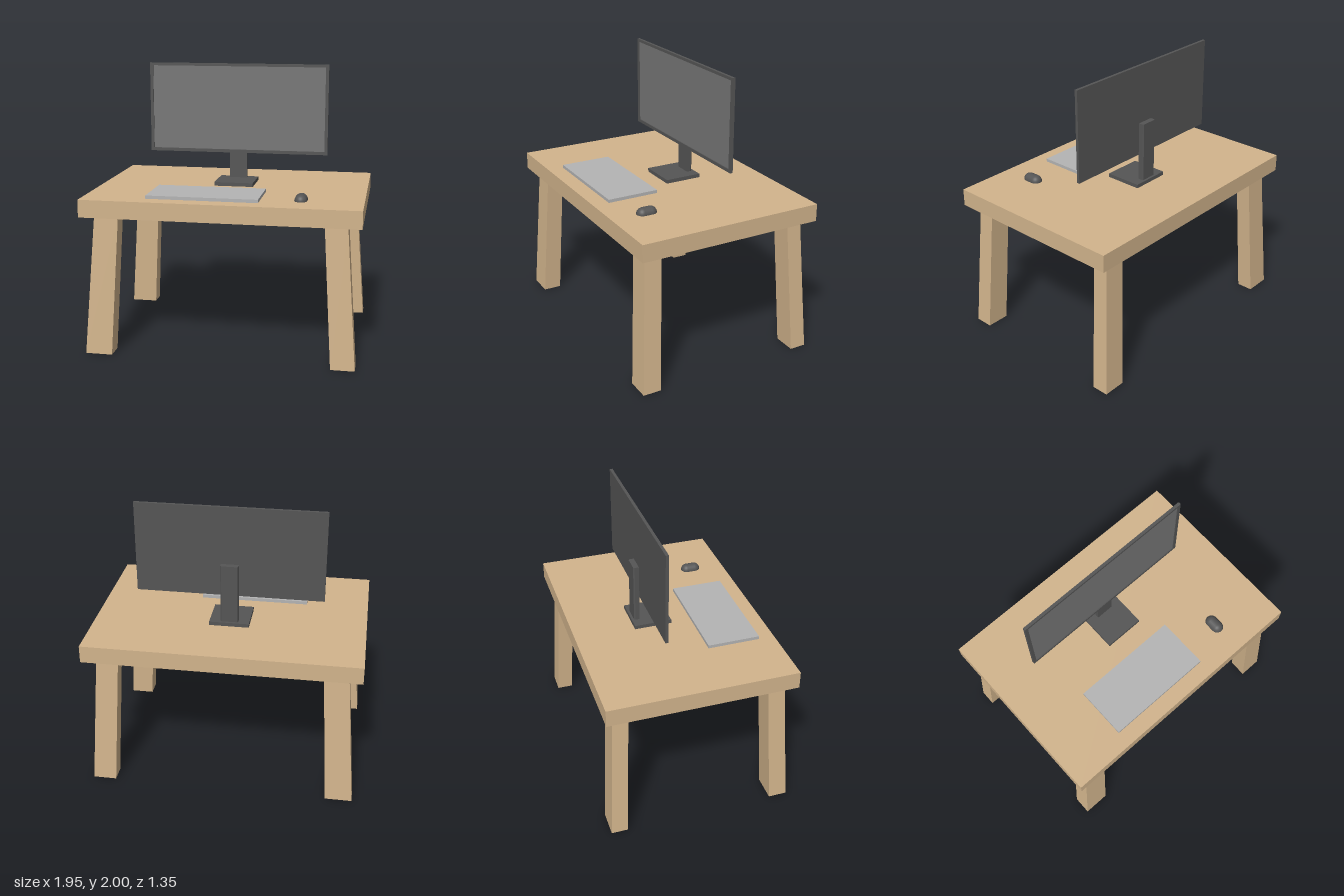
import * as THREE from 'three';

const paint = (color) => new THREE.MeshStandardMaterial({ color });

export function createModel() {
  const model = new THREE.Group();
  model.name = 'computerDesk';
  const wood = paint(0xd2b48c), dark = paint(0x555555);
  const screenGrey = paint(0x777777), lightGrey = paint(0xb4b4b4);

  const add = (parent, name, geometry, material) => {
    const mesh = new THREE.Mesh(geometry, material);
    mesh.name = name;
    parent.add(mesh);
    return mesh;
  };
  // Box given by its limits on each axis
  const block = (parent, name, [x0, x1], [y0, y1], [z0, z1], material) => {
    const mesh = add(parent, name, new THREE.BoxGeometry(x1 - x0, y1 - y0, z1 - z0), material);
    mesh.position.set((x0 + x1) / 2, (y0 + y1) / 2, (z0 + z1) / 2);
    return mesh;
  };
  const rectangle = (Type, x0, x1, y0, y1) => new Type([
    new THREE.Vector2(x0, y0), new THREE.Vector2(x1, y0),
    new THREE.Vector2(x1, y1), new THREE.Vector2(x0, y1),
  ]);

  // Table top
  block(model, 'tableTop', [-0.973, 0.973], [0.995, 1.12], [-0.675, 0.675], wood);

  // Splayed, tapered legs: limits at the foot and at the top
  const xSides = {
    Left: { foot: [0.782, 0.949], top: [0.721, 0.877] },
    Right: { foot: [-0.953, -0.762], top: [-0.879, -0.707] },
  };
  const zSides = {
    front: { foot: [0.532, 0.664], top: [0.489, 0.611] },
    back: { foot: [-0.663, -0.544], top: [-0.611, -0.501] },
  };
  for (const [zName, z] of Object.entries(zSides)) {
    for (const [xName, x] of Object.entries(xSides)) {
      const geometry = new THREE.BoxGeometry(1, 1, 1).toNonIndexed();
      const p = geometry.attributes.position;
      for (let i = 0; i < p.count; i++) {
        const level = p.getY(i) > 0 ? 'top' : 'foot';
        p.setXYZ(i, x[level][p.getX(i) > 0 ? 1 : 0], level === 'top' ? 0.995 : 0,
          z[level][p.getZ(i) > 0 ? 1 : 0]);
      }
      geometry.computeVertexNormals();
      add(model, `${zName}${xName}Leg`, geometry, wood);
    }
  }

  // Monitor: back panel, raised frame and recessed screen
  const monitor = new THREE.Group();
  monitor.name = 'monitor';
  model.add(monitor);
  block(monitor, 'monitorBack', [-0.668, 0.668], [1.338, 2], [-0.179, -0.17], dark);
  const frame = rectangle(THREE.Shape, -0.668, 0.668, 1.338, 2);
  frame.holes.push(rectangle(THREE.Path, -0.645, 0.645, 1.361, 1.98));
  add(monitor, 'monitorFrame',
    new THREE.ExtrudeGeometry(frame, { depth: 0.012, bevelEnabled: false }), dark)
    .position.z = -0.17;
  block(monitor, 'screen', [-0.645, 0.645], [1.361, 1.98], [-0.172, -0.165], screenGrey);

  // Stand: base plate and a post with trimmed rear corners
  block(monitor, 'standBase', [-0.143, 0.143], [1.12, 1.147], [-0.237, 0.035], dark);
  const post = new THREE.Shape();
  post.moveTo(-0.064, 0.179);
  post.lineTo(0.064, 0.179);
  post.lineTo(0.064, 0.21);
  post.lineTo(0.056, 0.219);
  post.lineTo(-0.056, 0.219);
  post.lineTo(-0.064, 0.21);
  post.closePath();
  const postGeometry = new THREE.ExtrudeGeometry(post, { depth: 0.437, bevelEnabled: false });
  postGeometry.rotateX(-Math.PI / 2);
  add(monitor, 'standPost', postGeometry, dark).position.y = 1.141;

  // Keyboard
  block(model, 'keyboard', [-0.523, 0.263], [1.12, 1.143], [0.183, 0.56], lightGrey);

  // Mouse: capsule half sunk in the table top
  const mouse = add(model, 'mouse', new THREE.CapsuleGeometry(0.044, 0.058, 10, 28), dark);
  mouse.rotation.x = Math.PI / 2;
  mouse.position.set(0.54, 1.121, 0.416);

  return model;
}
